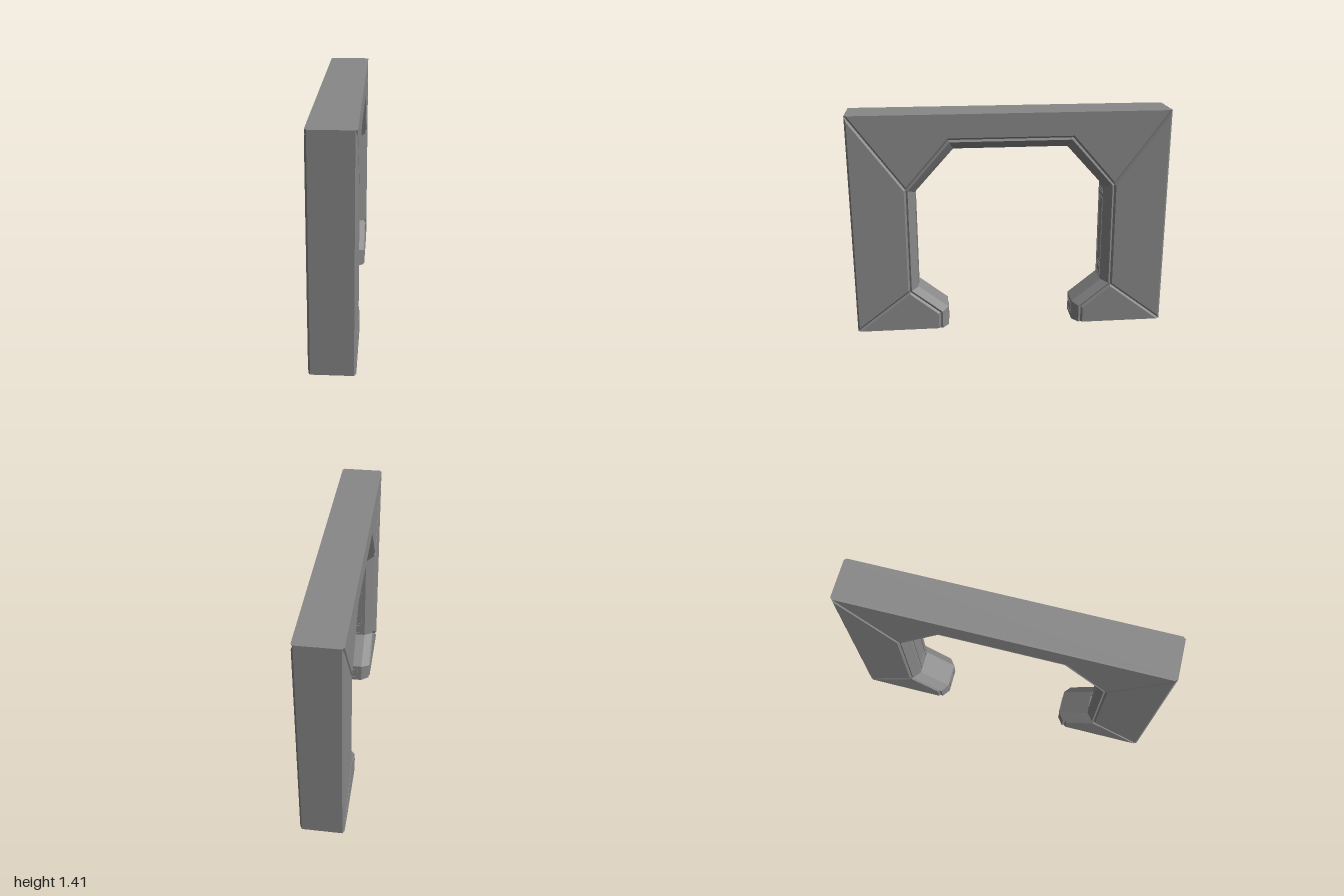
import * as THREE from 'three';

const H = 1.415;        // overall height
const CORE = 0.123;     // half width of the shell under the side panels
const FACE = 0.135;     // half width at the panel faces
const LIP = 0.129;      // half width at the lip around the opening
const FLAT = 0.078;     // half width of the flat inside the opening

const material = new THREE.MeshStandardMaterial({ color: 0x888888, flatShading: true, side: THREE.DoubleSide });

// Local frame: u along the span, v up, w across the thickness.
const mirrorPath = (half) => [...half.map(([u, v]) => [-u, v]), ...[...half].reverse()];
const outerPath = [[1, 0], [1, H], [-1, H], [-1, 0]];
const seamHalf = [[0.463, 0], [0.463, 0.108], [0.654, 0.265], [0.654, 0.946], [0.385, 1.256]];
const seamPath = mirrorPath(seamHalf);
const lipPath = mirrorPath([[0.449, 0], [0.449, 0.114], [0.643, 0.271], [0.643, 0.941], [0.378, 1.242]]);
const innerPath = mirrorPath([[0.41, 0], [0.41, 0.128], [0.6, 0.28], [0.6, 0.92], [0.355, 1.192]]);

function meshFromTriangles(name, triangles) {
  const geometry = new THREE.BufferGeometry().setFromPoints(triangles);
  geometry.computeVertexNormals();
  const mesh = new THREE.Mesh(geometry, material);
  mesh.name = name;
  return mesh;
}

const at = ([u, v], w) => new THREE.Vector3(u, v, w);
const quad = (a, b, c, d) => [a, b, c, a, c, d];

// Triangles of a strip between two matching paths at two depths
const strip = (p, wp, r, wr) => p.slice(1).flatMap((next, i) =>
  quad(at(p[i], wp), at(r[i], wr), at(r[i + 1], wr), at(next, wp)));

const ribbon = (name, ...args) => meshFromTriangles(name, strip(...args));

// Moves each edge of a counter-clockwise polygon inward; top and bottom edges stay put
function inset(points, amount) {
  const n = points.length;
  const lines = points.map(([u, v], i) => {
    const [u2, v2] = points[(i + 1) % n];
    const len = Math.hypot(u2 - u, v2 - v);
    const nu = -(v2 - v) / len, nv = (u2 - u) / len;
    const level = v === v2 && (v === 0 || v === H);
    return { nu, nv, c: nu * u + nv * v + (level ? 0 : amount) };
  });
  return lines.map((b, i) => {
    const a = lines[(i + n - 1) % n];
    const det = a.nu * b.nv - a.nv * b.nu;
    return [(a.c * b.nv - b.c * a.nv) / det, (a.nu * b.c - b.nu * a.c) / det];
  });
}

// Solid plate with bevelled edges; neighbouring bevels form the seams
function bevelPanel(name, base) {
  const top = inset(base, FACE - CORE);
  const list = strip([...top, top[0]], FACE, [...base, base[0]], CORE);
  const contour = top.map(([u, v]) => new THREE.Vector2(u, v));
  for (const [a, b, c] of THREE.ShapeUtils.triangulateShape(contour, [])) {
    list.push(at(top[a], FACE), at(top[b], FACE), at(top[c], FACE));
    list.push(at(base[a], CORE), at(base[c], CORE), at(base[b], CORE));
  }
  return meshFromTriangles(name, list);
}

const flip = (points) => points.map(([u, v]) => [-u, v]).reverse();

// Panels and lip of one broad side
function broadSide() {
  const side = new THREE.Group();
  const [toeLow, toeHigh, ankle, shoulder] = seamHalf;
  const post = [[1, 0], [1, H], shoulder, ankle];
  const foot = [[1, 0], ankle, toeHigh, toeLow];
  const lintel = [[-1, H], ...seamPath.slice(3, 7), [1, H]];
  side.add(
    bevelPanel('postPanel', post), bevelPanel('postPanel', flip(post)),
    bevelPanel('footPanel', foot), bevelPanel('footPanel', flip(foot)),
    bevelPanel('lintelPanel', lintel),
    ribbon('openingGroove', seamPath, CORE, lipPath, LIP),
    ribbon('openingChamfer', lipPath, LIP, innerPath, FLAT),
  );
  return side;
}

// Thin raised rectangular rim
function rim(name, halfWidth, low, high, border) {
  const rect = (Shape, d) => new Shape([
    new THREE.Vector2(-halfWidth + d, low + d), new THREE.Vector2(halfWidth - d, low + d),
    new THREE.Vector2(halfWidth - d, high - d), new THREE.Vector2(-halfWidth + d, high - d),
  ]);
  const shape = rect(THREE.Shape, 0);
  shape.holes.push(rect(THREE.Path, border));
  const mesh = new THREE.Mesh(new THREE.ExtrudeGeometry(shape, { depth: 0.004, bevelEnabled: false }), material);
  mesh.name = name;
  return mesh;
}

export function createModel() {
  const model = new THREE.Group();
  model.name = 'archway';
  const frame = new THREE.Group();
  frame.name = 'frame';
  frame.rotation.y = Math.PI / 2;
  model.add(frame);

  // Hollow shell, open under the feet
  frame.add(
    ribbon('outerShell', outerPath, CORE, outerPath, -CORE),
    ribbon('openingLining', innerPath, FLAT, innerPath, -FLAT),
  );

  // Both broad sides
  for (const turn of [0, Math.PI]) {
    const side = broadSide();
    side.name = turn ? 'rightSide' : 'leftSide';
    side.rotation.y = turn;
    frame.add(side);
  }

  // Raised trim on the inner faces of the posts and toes
  for (const s of [-1, 1]) {
    const postTrim = new THREE.Group();
    postTrim.name = 'postTrim';
    postTrim.position.x = s * 0.6;
    postTrim.rotation.y = -s * Math.PI / 2;
    postTrim.add(
      rim('longInset', 0.052, 0.375, 0.835, 0.007),
      rim('lowerInset', 0.052, 0.295, 0.362, 0.006),
      rim('upperSlot', 0.046, 0.865, 0.89, 0.006),
    );
    const toeTrim = rim('toeTrim', 0.048, 0.025, 0.1, 0.007);
    toeTrim.position.x = s * 0.41;
    toeTrim.rotation.y = -s * Math.PI / 2;
    frame.add(postTrim, toeTrim);
  }
  return model;
}
